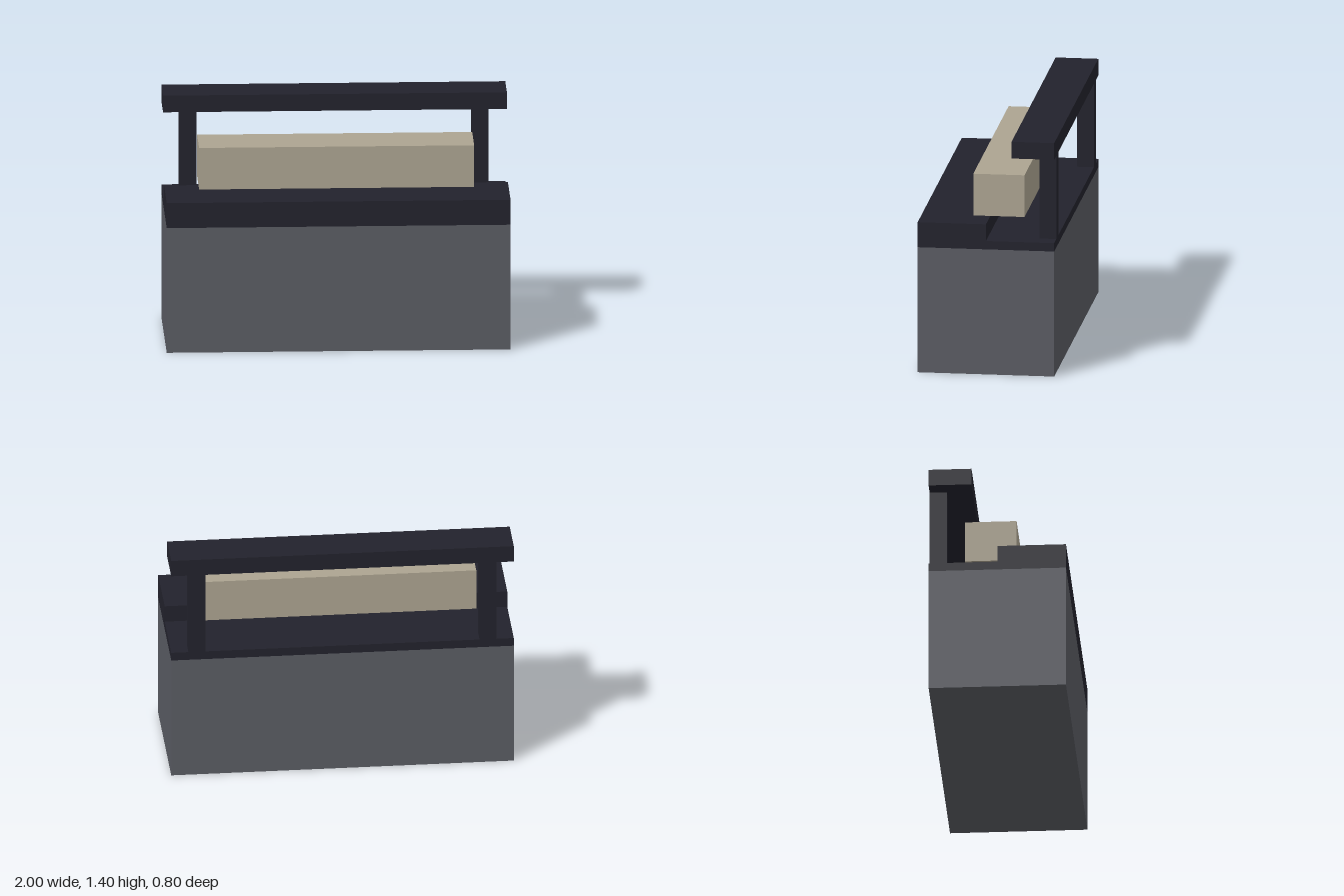
import * as THREE from 'three';

export function createModel() {
  const model = new THREE.Group();
  model.name = 'counter';

  const mat = (name, color) => {
    const m = new THREE.MeshStandardMaterial({ color });
    m.name = name;
    return m;
  };
  const grey = mat('slate grey', 0x5a5c63);
  const dark = mat('dark navy', 0x22222c);
  const beige = mat('warm beige', 0xaca491);

  // Box given by its limits on each axis
  const box = (name, material, [x0, x1], [y0, y1], [z0, z1]) => {
    const mesh = new THREE.Mesh(new THREE.BoxGeometry(x1 - x0, y1 - y0, z1 - z0), material);
    mesh.position.set((x0 + x1) / 2, (y0 + y1) / 2, (z0 + z1) / 2);
    mesh.name = name;
    model.add(mesh);
  };

  const width = [-1, 1];

  // Base cabinet
  box('base', grey, width, [0, 0.75], [-0.4, 0.4]);

  // Worktop slab with a raised front half
  box('worktop', dark, width, [0.75, 0.8], [-0.4, 0.4]);
  box('frontLedge', dark, width, [0.8, 0.9], [0, 0.4]);

  // Long block resting on the ledge and overhanging behind it
  box('block', beige, [-0.8, 0.8], [0.9, 1.15], [-0.2, 0.1]);

  // Rear posts carrying the top shelf
  box('rightPost', dark, [-0.9, -0.8], [0.8, 1.3], [-0.4, -0.3]);
  box('leftPost', dark, [0.8, 0.9], [0.8, 1.3], [-0.4, -0.3]);
  box('topShelf', dark, width, [1.3, 1.4], [-0.4, -0.15]);

  return model;
}
